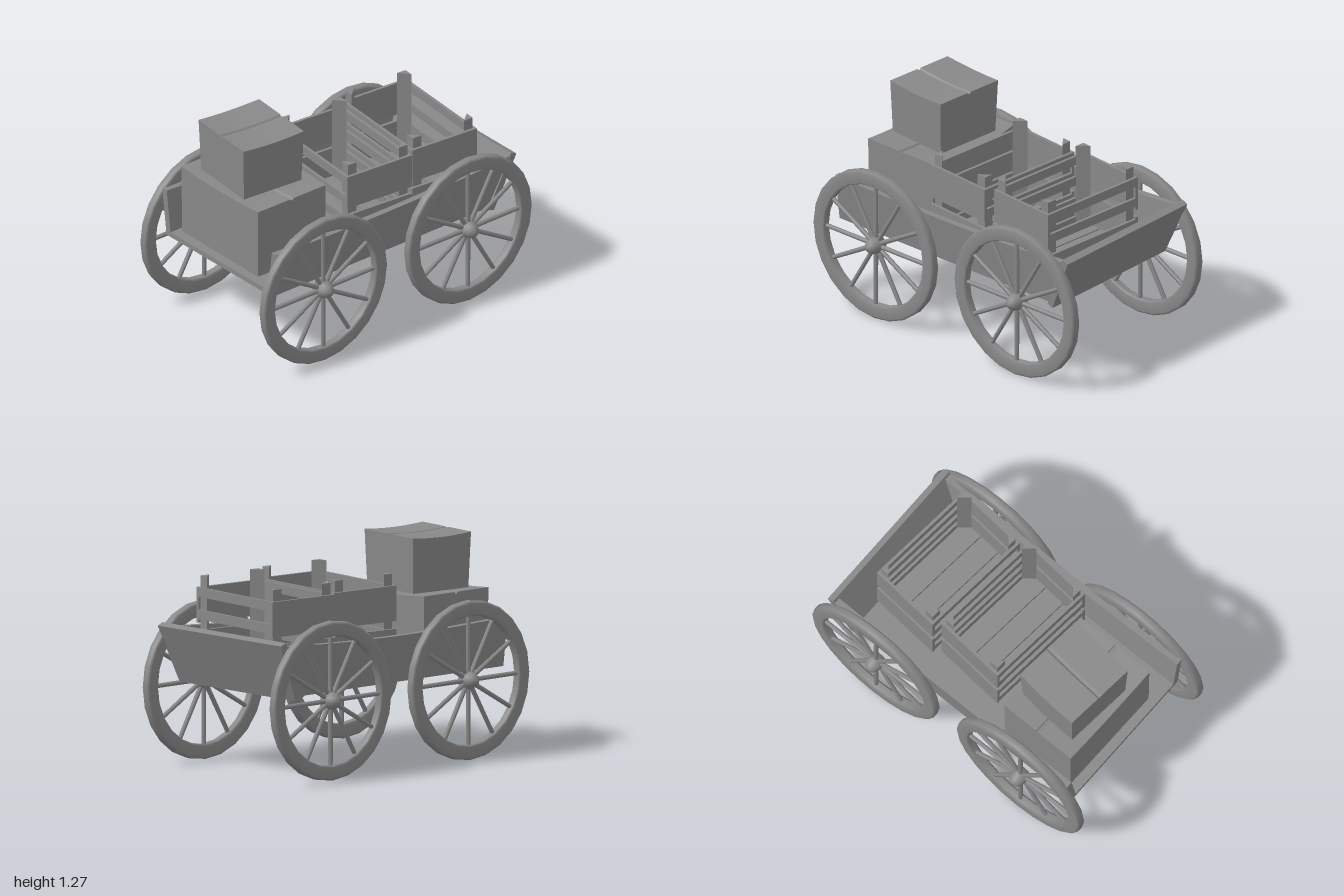
import * as THREE from 'three';

const mat = new THREE.MeshStandardMaterial({ color: 0x888888 });
const flat = new THREE.MeshStandardMaterial({ color: 0x888888, flatShading: true });

function add(parent, name, geo, x = 0, y = 0, z = 0, material = flat) {
  const m = new THREE.Mesh(geo, material);
  m.name = name;
  m.position.set(x, y, z);
  parent.add(m);
  return m;
}
const box = (w, h, d) => new THREE.BoxGeometry(w, h, d);
const points = list => list.map(([x, y]) => new THREE.Vector2(x, y));

// move every vertex by a rule
function warp(geo, rule) {
  const p = geo.attributes.position, v = new THREE.Vector3();
  for (let i = 0; i < p.count; i++) {
    v.fromBufferAttribute(p, i);
    rule(v);
    p.setXYZ(i, v.x, v.y, v.z);
  }
  geo.computeVertexNormals();
  return geo;
}

// spoked wheel facing +z
function wheel() {
  const g = new THREE.Group();
  g.name = 'wheel';
  const rim = points([[0.375, -0.018], [0.385, -0.029], [0.446, -0.029], [0.46, -0.018],
    [0.46, 0.018], [0.446, 0.029], [0.385, 0.029], [0.375, 0.018], [0.375, -0.018]]);
  add(g, 'rim', new THREE.LatheGeometry(rim, 24).rotateX(Math.PI / 2), 0, 0, 0, mat);
  const hub = points([[0, -0.035], [0.05, -0.035], [0.055, 0], [0.046, 0.035], [0.036, 0.055], [0.022, 0.069], [0, 0.076]]);
  add(g, 'hub', new THREE.LatheGeometry(hub, 12).rotateX(Math.PI / 2), 0, 0, 0, mat);
  for (let i = 0; i < 12; i++) {
    const spoke = new THREE.CylinderGeometry(0.013, 0.014, 0.36, 8).translate(0, 0.21, 0);
    add(g, 'spoke', spoke, 0, 0, 0, mat).rotation.z = i * Math.PI / 6;
  }
  return g;
}

// carton with a seam groove along z, slightly tapered, bulged and sagging
function carton(name, w, h, d, taper, bulge, sag) {
  const s = new THREE.Shape(points([[-w / 2, 0], [w / 2, 0], [w / 2, h], [0.014, h],
    [0.005, h - 0.01], [-0.005, h - 0.01], [-0.014, h], [-w / 2, h]]));
  const geo = new THREE.ExtrudeGeometry(s, { depth: d, steps: 6, bevelEnabled: false }).translate(0, 0, -d / 2);
  warp(geo, v => {
    const t = v.y / h, mid = 1 - (2 * v.z / d) ** 2;
    const k = 1 - taper * (1 - t);
    v.x = v.x * k + (v.x > 0.1 ? bulge * mid : 0);
    v.z *= k;
    v.y -= sag * mid * t;
  });
  const g = new THREE.Group();
  g.name = name;
  add(g, name + 'Body', geo);
  return g;
}

// open slatted crate with three-cornered posts, base at y = 0
function crate() {
  const g = new THREE.Group();
  g.name = 'crate';
  for (const sx of [-1, 1]) for (const sz of [-1, 1]) {
    const tri = new THREE.Shape(points([[0, 0], [-sx * 0.06, 0], [0, sz * 0.06]]));
    const post = new THREE.ExtrudeGeometry(tri, { depth: 0.56, bevelEnabled: false }).rotateX(-Math.PI / 2);
    add(g, 'cratePost', post, sx * 0.208, 0, sz * 0.335);
  }
  for (const s of [-1, 1]) {
    for (const y of [0.14, 0.39]) add(g, 'crateEndPanel', box(0.45, 0.205, 0.018), 0, y, s * 0.344);
    for (const y of [0.08, 0.2, 0.335, 0.465])
      add(g, 'crateSideSlat', box(0.018, 0.055, 0.672), s * 0.216, y, 0);
  }
  for (const x of [-0.14, 0, 0.14]) add(g, 'crateFloorSlat', box(0.13, 0.02, 0.67), x, 0.05, 0);
  return g;
}

export function createModel() {
  const root = new THREE.Group();
  root.name = 'wagon';

  // bed: floor, two flared side boards with sagging tops, slanted end board
  add(root, 'floor', box(1.62, 0.03, 0.9), -0.06, 0.515, 0);
  const side = new THREE.Shape();
  side.moveTo(-0.87, 0.5);
  side.lineTo(0.75, 0.5);
  side.lineTo(0.88, 0.81);
  side.quadraticCurveTo(0.1, 0.745, -0.87, 0.79);
  side.closePath();
  for (const s of [-1, 1]) {
    const geo = new THREE.ExtrudeGeometry(side, { depth: 0.04, bevelEnabled: false, curveSegments: 10 })
      .translate(0, 0, -0.02);
    add(root, 'sideBoard', warp(geo, v => { v.z += s * (0.45 + (v.y - 0.5) * 0.13); }));
  }
  const tail = warp(box(0.042, 0.364, 2), v => { v.z *= 0.5 + v.y * 0.085; });
  add(root, 'endBoard', tail, 0.82, 0.654, 0).rotation.z = -0.4;

  // wheels
  for (const x of [-0.54, 0.537]) for (const s of [-1, 1]) {
    const w = wheel();
    w.position.set(x, 0.462, s * 0.53);
    if (s < 0) w.rotation.y = Math.PI;
    root.add(w);
  }

  // cargo: stacked cartons and two crates
  const lower = carton('lowerCarton', 0.5, 0.425, 0.69, 0.01, 0.025, 0.014);
  lower.position.set(-0.565, 0.53, -0.06);
  lower.rotation.y = -0.01;
  const upper = carton('upperCarton', 0.45, 0.322, 0.42, 0.05, 0.005, 0.01);
  upper.position.set(-0.563, 0.952, -0.083);
  upper.rotation.y = Math.PI / 2 - 0.09;
  root.add(lower, upper);
  for (const x of [0.01, 0.493]) {
    const c = crate();
    c.position.set(x, 0.53, 0.06);
    c.rotation.y = -0.087;
    root.add(c);
  }
  return root;
}
